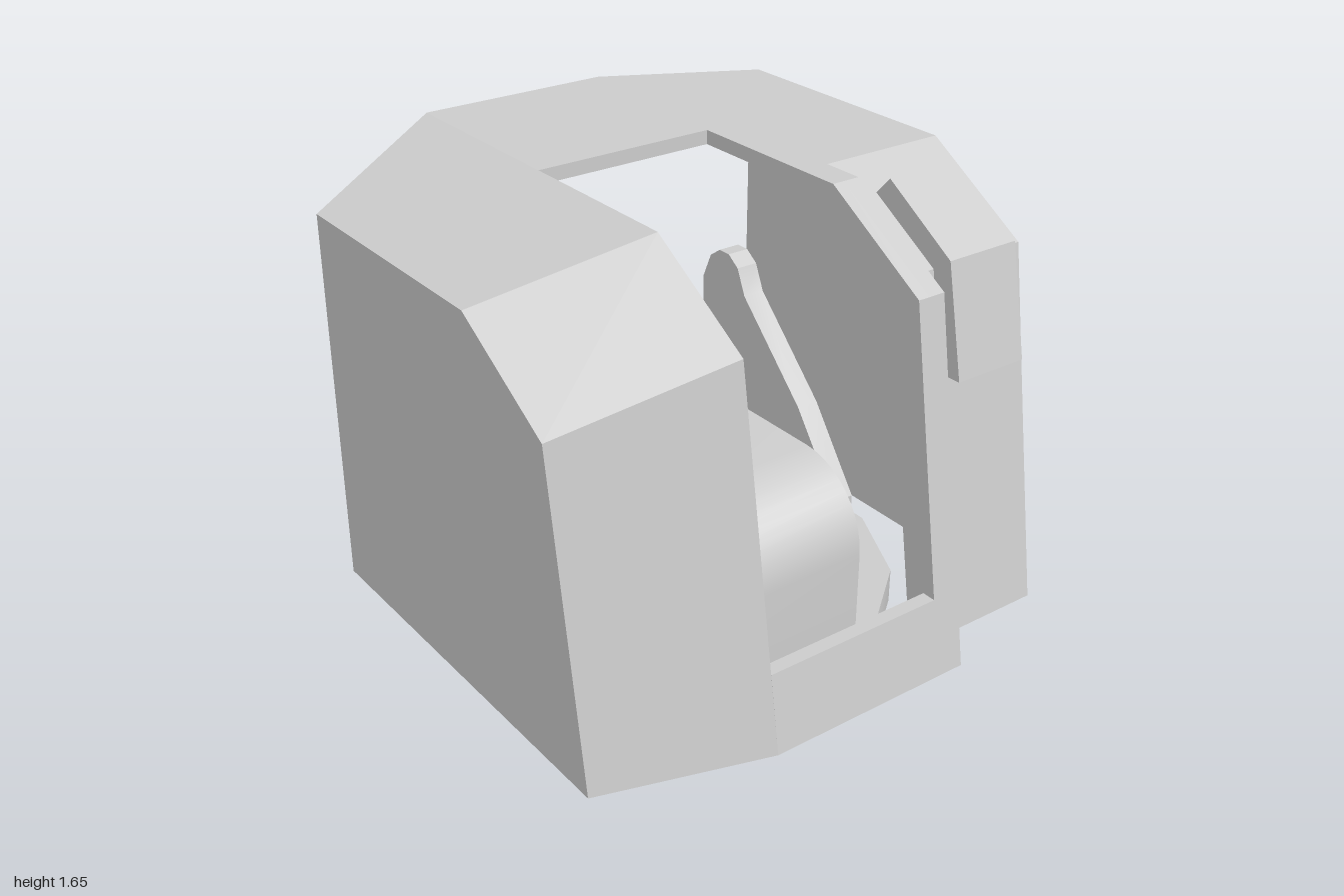
import * as THREE from 'three';
import { toCreasedNormals } from 'three/addons/utils/BufferGeometryUtils.js';

const material = new THREE.MeshStandardMaterial({ color: 0xcccccc, side: THREE.DoubleSide });

// Solid between two [z, y] outlines standing at x0 and x1 (x0 < x1)
function loft(x0, x1, outline0, outline1 = outline0) {
  let p = outline0, q = outline1;
  const flat = p.map(([z, y]) => new THREE.Vector2(z, y));
  if (THREE.ShapeUtils.area(flat) < 0) {
    p = [...p].reverse();
    q = [...q].reverse();
    flat.reverse();
  }
  const a = p.map(([z, y]) => [x0, y, z]);
  const b = q.map(([z, y]) => [x1, y, z]);
  const pos = [];
  const tri = (...corners) => corners.forEach((c) => pos.push(...c));
  for (const [i, j, k] of THREE.ShapeUtils.triangulateShape(flat, [])) {
    tri(a[i], a[j], a[k]);
    tri(b[i], b[k], b[j]);
  }
  for (let i = 0; i < a.length; i++) {
    const j = (i + 1) % a.length;
    tri(a[i], b[j], a[j]);
    tri(a[i], b[i], b[j]);
  }
  const geo = new THREE.BufferGeometry();
  geo.setAttribute('position', new THREE.Float32BufferAttribute(pos, 3));
  return toCreasedNormals(geo, 0.5);
}

// Shell outline: sloped front, angled brow and roof, as a thin band
const band = (zb, zk, yk, zt, yt, back) => [
  [zb, 0.13], [zk, yk], [zt, yt], [back, yt],
  [back, yt - 0.05], [zt - 0.02, yt - 0.05], [zk - 0.05, yk - 0.03], [zb - 0.05, 0.13],
];
const wall = (zb, zk, yk, zt, yt, back) => [
  [zb, 0.13], [zk, yk], [zt, yt], [back, yt], [back, 0.13],
];

export function createModel() {
  const model = new THREE.Group();
  const add = (parent, name, geo, x = 0, y = 0, z = 0) => {
    const mesh = new THREE.Mesh(geo, material);
    mesh.name = name;
    mesh.position.set(x, y, z);
    parent.add(mesh);
    return mesh;
  };
  const box = (parent, name, w, h, d, x, y, z) =>
    add(parent, name, new THREE.BoxGeometry(w, h, d), x, y, z);

  // Turntable
  const disc = new THREE.CylinderGeometry(0.82, 0.82, 0.13, 14);
  add(model, 'turntable', toCreasedNormals(disc, 0.5), 0, 0.065, -0.07);

  // Armoured shell
  const shell = new THREE.Group();
  shell.name = 'shell';
  model.add(shell);
  const mainFront = [1, 0.79, 1.4, 0.38, 1.65];
  const setBack = [0.845, 0.64, 1.4, 0.23, 1.65];
  const rightEdge = [0.82, 0.64, 1.25, 0.23, 1.5, -0.7];
  add(shell, 'rightShell', loft(-0.92, -0.34, band(...rightEdge), band(...mainFront, -1)));
  add(shell, 'openingEdge', loft(0.335, 0.38, band(...mainFront, -1)));
  add(shell, 'stepFront', loft(0.38, 0.44, band(...mainFront, -1), band(...mainFront, -0.97)));
  add(shell, 'leftShell', loft(0.44, 0.92, band(...setBack, -0.97), band(...setBack, -0.72)));
  add(shell, 'rightWall', loft(-0.92, -0.88, wall(...rightEdge)));
  add(shell, 'leftWall', loft(0.88, 0.92, wall(...setBack, -0.72)));
  add(shell, 'stepWall', loft(0.4, 0.44, [
    [1, 0.13], [0.79, 1.4], [0.38, 1.65], [0.21, 1.62], [0.59, 1.37], [0.795, 0.13],
  ]));
  add(shell, 'rearRoof', loft(-0.34, 0.335, [[-0.27, 1.65], [-1, 1.65], [-1, 1.6], [-0.27, 1.6]]));
  add(shell, 'frontSill', loft(-0.34, 0.335, [[1, 0.13], [0.955, 0.405], [0.905, 0.405], [0.95, 0.13]]));

  // Sight hood on the set-back front
  add(model, 'sightHood', loft(0.54, 0.825, [
    [0.69, 1.06], [0.79, 1.06], [0.71, 1.45], [0.42, 1.635], [0.36, 1.57], [0.62, 1.38],
  ]));

  // Cradle with a rounded front
  const cradle = [[-0.21, 0.13], [-0.21, 0.72]];
  for (let i = 0; i <= 10; i++) {
    const t = (i / 10) * Math.PI / 2;
    cradle.push([0.35 + 0.29 * Math.sin(t), 0.43 + 0.29 * Math.cos(t)]);
  }
  cradle.push([0.64, 0.13]);
  add(model, 'cradle', loft(-0.305, 0.295, cradle));

  // Side drum
  const drum = new THREE.CylinderGeometry(0.36, 0.36, 0.46, 32).rotateZ(Math.PI / 2);
  add(model, 'sideDrum', toCreasedNormals(drum, 0.5), -0.61, 0.55, 0.1);

  // Trunnion plates with rounded heads
  const plate = [
    [-0.23, 0.13], [-0.23, 1.14], [-0.19, 1.23], [-0.14, 1.265], [-0.09, 1.265],
    [-0.04, 1.23], [0, 1.14], [0.3, 0.84], [0.5, 0.565], [0.5, 0.13],
  ];
  add(model, 'rightTrunnionPlate', loft(-0.385, -0.305, plate));
  add(model, 'leftTrunnionPlate', loft(0.295, 0.375, plate));

  // Crew seats on rails, facing inwards
  for (const side of [-1, 1]) {
    const seat = new THREE.Group();
    seat.name = side > 0 ? 'leftSeat' : 'rightSeat';
    model.add(seat);
    box(seat, 'seatPan', 0.24, 0.02, 0.31, side * 0.42, 0.5, -0.505);
    box(seat, 'seatBack', 0.02, 0.2, 0.31, side * 0.53, 0.59, -0.505);
    for (const x of [0.4, 0.45, 0.5]) {
      box(seat, 'seatRail', 0.02, 0.02, 0.55, side * x, 0.48, -0.32);
    }
    box(seat, 'railBracket', 0.15, 0.03, 0.03, side * 0.44, 0.48, -0.06);
  }
  return model;
}
